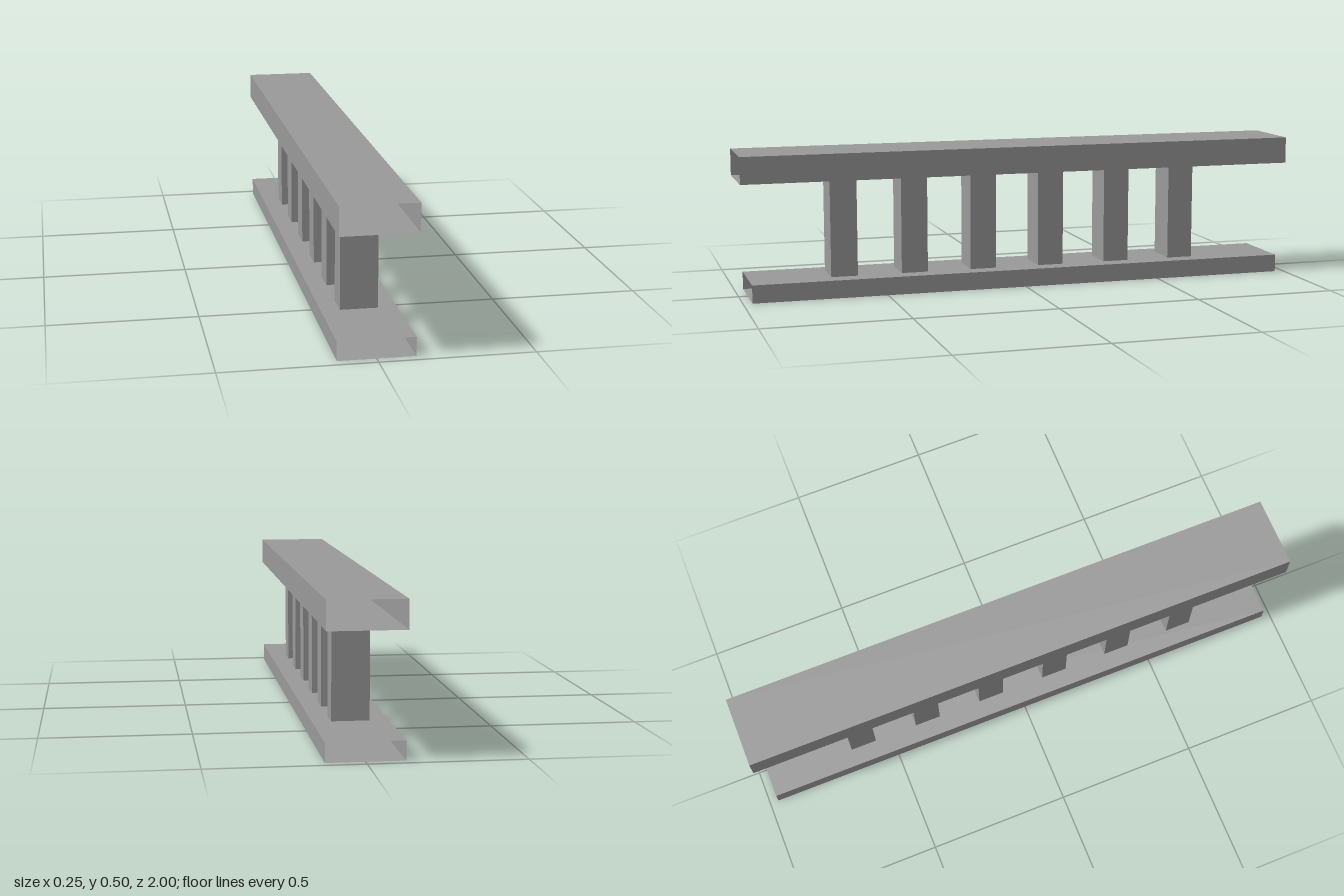
import * as THREE from 'three';

const material = new THREE.MeshStandardMaterial({ color: 0x9a9a9a, flatShading: true, side: THREE.DoubleSide });

// Rectangular tube open at both ends along the given axis
function openTube(name, w, h, d, openAxis) {
  const geometry = new THREE.BoxGeometry(w, h, d);
  const first = { x: 0, y: 12, z: 24 }[openAxis]; // six indices per face, two faces per axis
  const kept = Array.from(geometry.index.array).filter((_, i) => i < first || i >= first + 12);
  geometry.setIndex(kept);
  geometry.clearGroups();
  const mesh = new THREE.Mesh(geometry, material);
  mesh.name = name;
  return mesh;
}

export function createModel() {
  const model = new THREE.Group();
  model.name = 'railing';

  const width = 0.25, bottomTop = 0.0625, topBottom = 0.40625, topTop = 0.5;

  // Long hollow rails
  const bottomRail = openTube('bottomRail', width, bottomTop, 1.9375, 'z');
  bottomRail.position.y = bottomTop / 2;
  const topRail = openTube('topRail', width, topTop - topBottom, 2, 'z');
  topRail.position.y = (topTop + topBottom) / 2;
  model.add(bottomRail, topRail);

  // Evenly spaced posts, set slightly toward the front
  const posts = new THREE.Group();
  posts.name = 'posts';
  for (let i = 0; i < 6; i++) {
    const post = openTube('post' + (i + 1), 0.125, topBottom - bottomTop, 0.09375, 'y');
    post.position.set(0, (topBottom + bottomTop) / 2, 0.6406 - i * 0.25);
    posts.add(post);
  }
  model.add(posts);

  return model;
}
